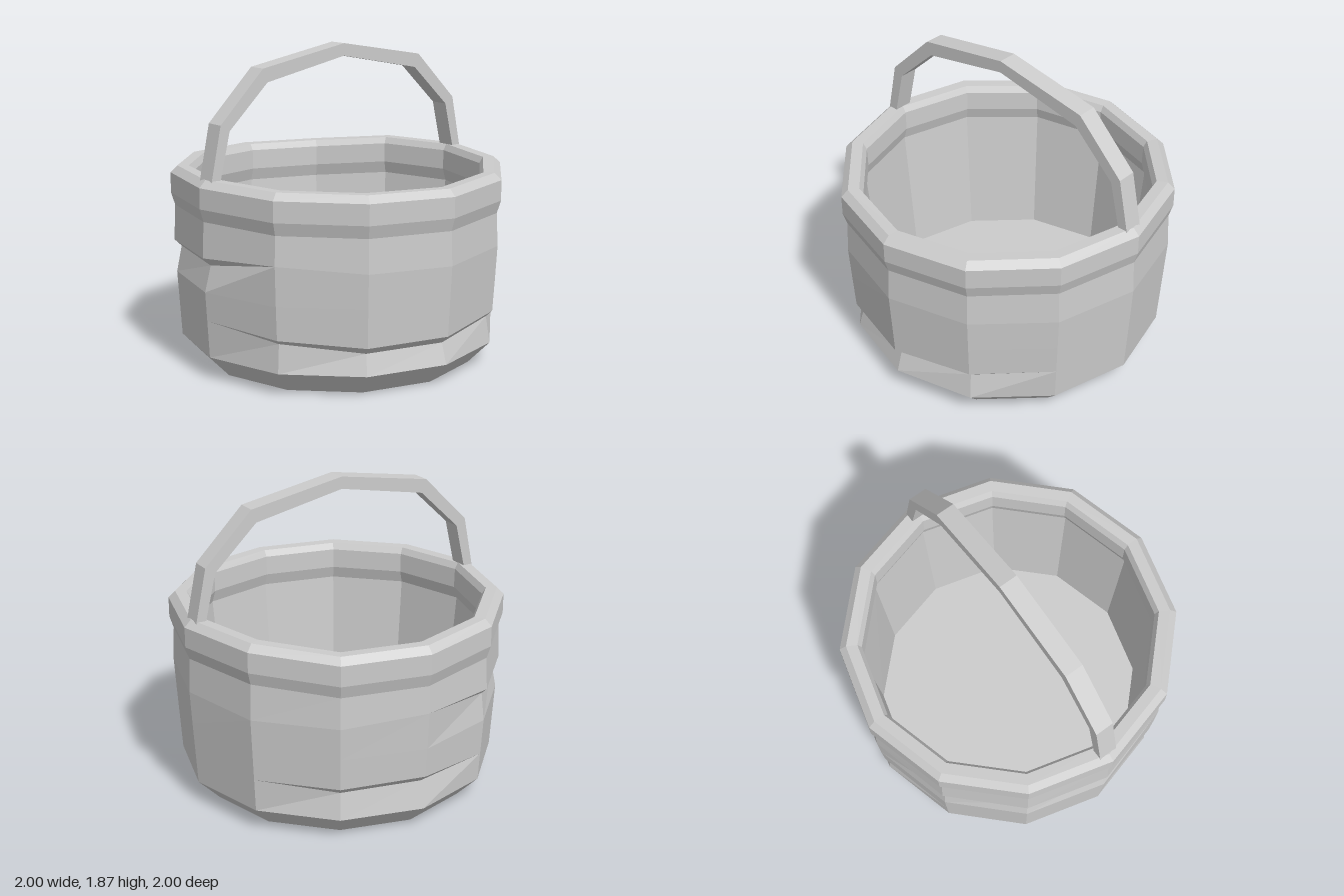
import * as THREE from 'three';

const SIDES = 12;
const material = new THREE.MeshStandardMaterial({ color: 0xcccccc, flatShading: true });

// Slight hand-made waviness of the rim, per column (starting at +x, turning to +z)
const WAVE = [0.01, 0.005, 0, -0.007, 0, 0.005, 0.013, 0.01, 0, -0.012, -0.02, 0.008];

// Overlapping board seams: [upper lip y, recessed lower y] per column
const LOW_SEAM = [[0.34, 0.34], [0.34, 0.34], [0.335, 0.3], [0.308, 0.263], [0.305, 0.263], [0.335, 0.31],
  [0.36, 0.36], [0.33, 0.33], [0.31, 0.31], [0.35, 0.305], [0.34, 0.3], [0.34, 0.34]];
const HIGH_SEAM = [[0.73, 0.73], [0.73, 0.73], [0.73, 0.73], [0.72, 0.72], [0.73, 0.73], [0.76, 0.76],
  [0.73, 0.68], [0.725, 0.685], [0.73, 0.7], [0.75, 0.75], [0.72, 0.72], [0.72, 0.72]];

// Radius of the undamaged outer wall at a height
function wallRadius(y) {
  return y < 0.72
    ? THREE.MathUtils.mapLinear(y, 0.14, 0.72, 0.95, 0.985)
    : THREE.MathUtils.mapLinear(y, 0.72, 0.93, 0.985, 0.975);
}

function seam([top, bottom]) {
  return [[wallRadius(bottom) - (top - bottom), bottom], [wallRadius(top), top]];
}

// Joins the [radius, y] profiles of all columns into a faceted ring
function ring(name, profile) {
  const columns = [];
  for (let i = 0; i < SIDES; i++) {
    const a = (i / SIDES) * Math.PI * 2;
    columns.push(profile(i).map(([r, y]) => new THREE.Vector3(r * Math.cos(a), y, r * Math.sin(a))));
  }
  const points = [];
  const addTriangle = (a, b, c) => {
    if (new THREE.Triangle(a, b, c).getArea() > 1e-7) points.push(a, b, c);
  };
  for (let i = 0; i < SIDES; i++) {
    const now = columns[i], next = columns[(i + 1) % SIDES];
    for (let j = 0; j < now.length - 1; j++) {
      addTriangle(next[j], now[j], now[j + 1]);
      addTriangle(next[j], now[j + 1], next[j + 1]);
    }
  }
  const geometry = new THREE.BufferGeometry().setFromPoints(points);
  geometry.computeVertexNormals();
  const mesh = new THREE.Mesh(geometry, material);
  mesh.name = name;
  return mesh;
}

// Angular arched handle: half outline mirrored, then extruded to a flat strap
function makeHandle() {
  const outer = [[0.957, 1.14], [0.885, 1.478], [0.59, 1.77]];
  const inner = [[0.56, 1.69], [0.825, 1.44], [0.897, 1.14]];
  const mirror = (list) => list.map(([x, y]) => [-x, y]).reverse();
  const outline = [...outer, [0, 1.873], ...mirror(outer), ...mirror(inner), [0, 1.8], ...inner];
  const shape = new THREE.Shape(outline.map(([x, y]) => new THREE.Vector2(x, y)));
  const geometry = new THREE.ExtrudeGeometry(shape, { depth: 0.114, bevelEnabled: false });
  geometry.translate(0, 0, -0.06);
  const mesh = new THREE.Mesh(geometry, material);
  mesh.name = 'handle';
  return mesh;
}

export function createModel() {
  const model = new THREE.Group();
  model.name = 'bucket';

  // Closed underside and bevelled foot
  model.add(ring('base', () => [[0, 0.005], [0.82, 0.005], [0.95, 0.14]]));

  // Outer wall with two rows of overlapping board seams
  model.add(ring('outerWall', (i) => [
    [0.95, 0.14],
    ...seam(LOW_SEAM[i]),
    [wallRadius(0.53), 0.53],
    ...seam(HIGH_SEAM[i]),
    [0.975, 0.925 + WAVE[i]],
  ]));

  // Thick bevelled rim band
  model.add(ring('rim', (i) => [
    [0.975, 0.925], [0.998, 1.0], [0.998, 1.12], [0.957, 1.16],
    [0.89, 1.158], [0.868, 1.12], [0.865, 1.0], [0.888, 0.925],
  ].map(([r, y]) => [r, y + WAVE[i]])));

  // Inner wall and floor
  model.add(ring('inside', (i) => [[0.888, 0.925 + WAVE[i]], [0.82, 0.14], [0, 0.14]]));

  model.add(makeHandle());
  return model;
}
